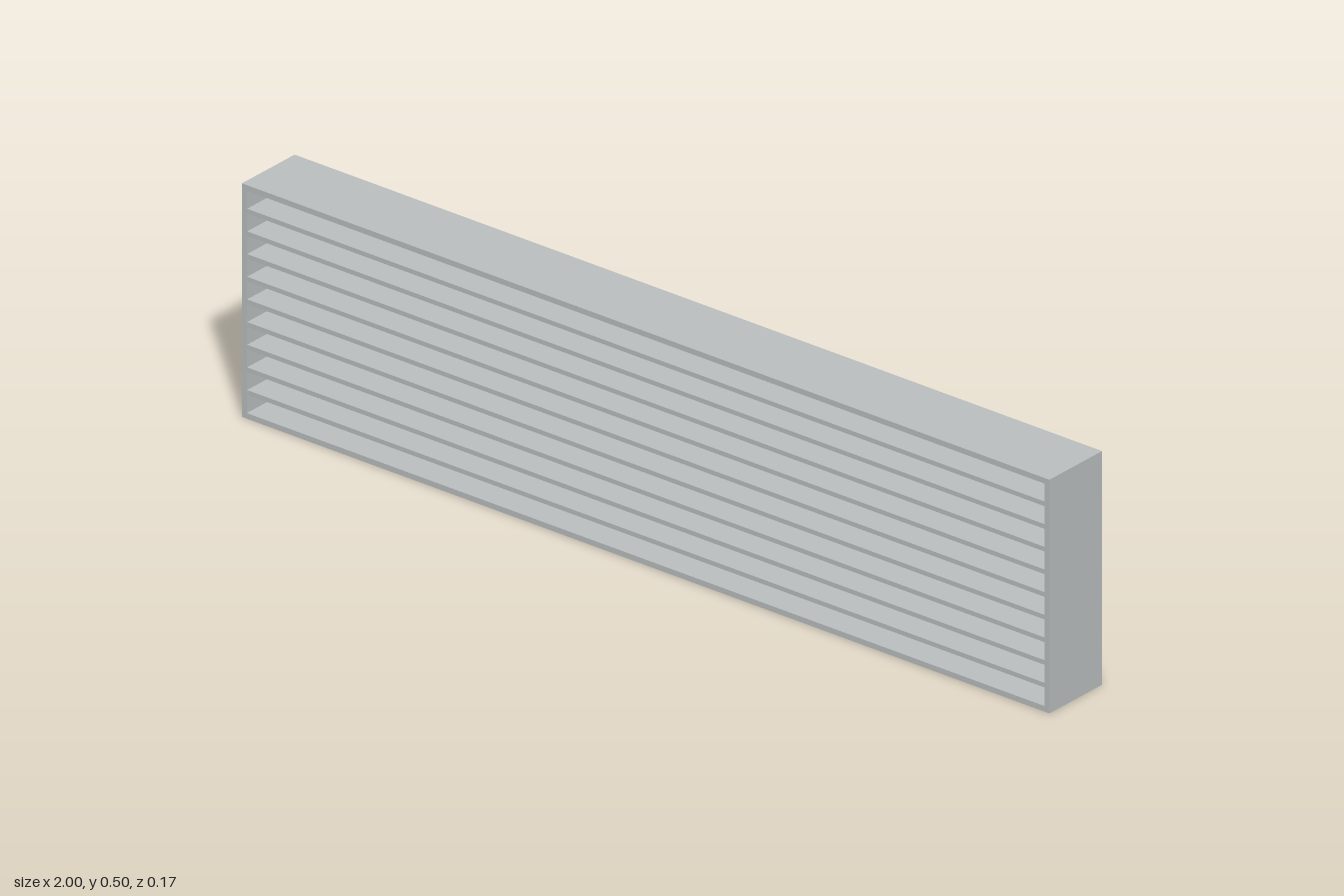
import * as THREE from 'three';

const WIDTH = 2, HEIGHT = 0.5, WALL = 0.012;
const FRONT = 0.084, BACK = -0.075, DEPTH = FRONT - BACK;
const MID = (FRONT + BACK) / 2;
const SLATS = 9;

export function createModel() {
  const model = new THREE.Group();
  model.name = 'louvreGrille';

  const metal = new THREE.MeshStandardMaterial({ color: 0xbcc0c0 });
  metal.name = 'light grey metal';
  const dark = new THREE.MeshStandardMaterial({ color: 0x333333 });
  dark.name = 'dark backing';

  function add(name, geometry, material, x, y, z) {
    const mesh = new THREE.Mesh(geometry, material);
    mesh.name = name;
    mesh.position.set(x, y, z);
    model.add(mesh);
  }

  // Outer frame: a rectangle with a rectangular opening, extruded through its depth
  const w = WIDTH / 2, h = HEIGHT / 2;
  const outline = new THREE.Shape([
    new THREE.Vector2(-w, -h), new THREE.Vector2(w, -h),
    new THREE.Vector2(w, h), new THREE.Vector2(-w, h),
  ]);
  const iw = w - WALL, ih = h - WALL;
  outline.holes.push(new THREE.Path([
    new THREE.Vector2(-iw, -ih), new THREE.Vector2(-iw, ih),
    new THREE.Vector2(iw, ih), new THREE.Vector2(iw, -ih),
  ]));
  const frame = new THREE.ExtrudeGeometry(outline, { depth: DEPTH, bevelEnabled: false });
  add('frame', frame, metal, 0, h, BACK);

  // Horizontal slats, evenly spaced in the opening
  const slat = new THREE.BoxGeometry(2 * iw, 0.01, DEPTH - 0.002);
  const pitch = 0.0485;
  for (let i = 0; i < SLATS; i++) {
    add(`slat${i + 1}`, slat, metal, 0, h + (i - (SLATS - 1) / 2) * pitch, MID);
  }

  // Thin backing panel, standing just clear of the frame
  add('backPanel', new THREE.BoxGeometry(1.976, 0.474, 0.003), dark, 0, h, -0.0822);

  return model;
}
